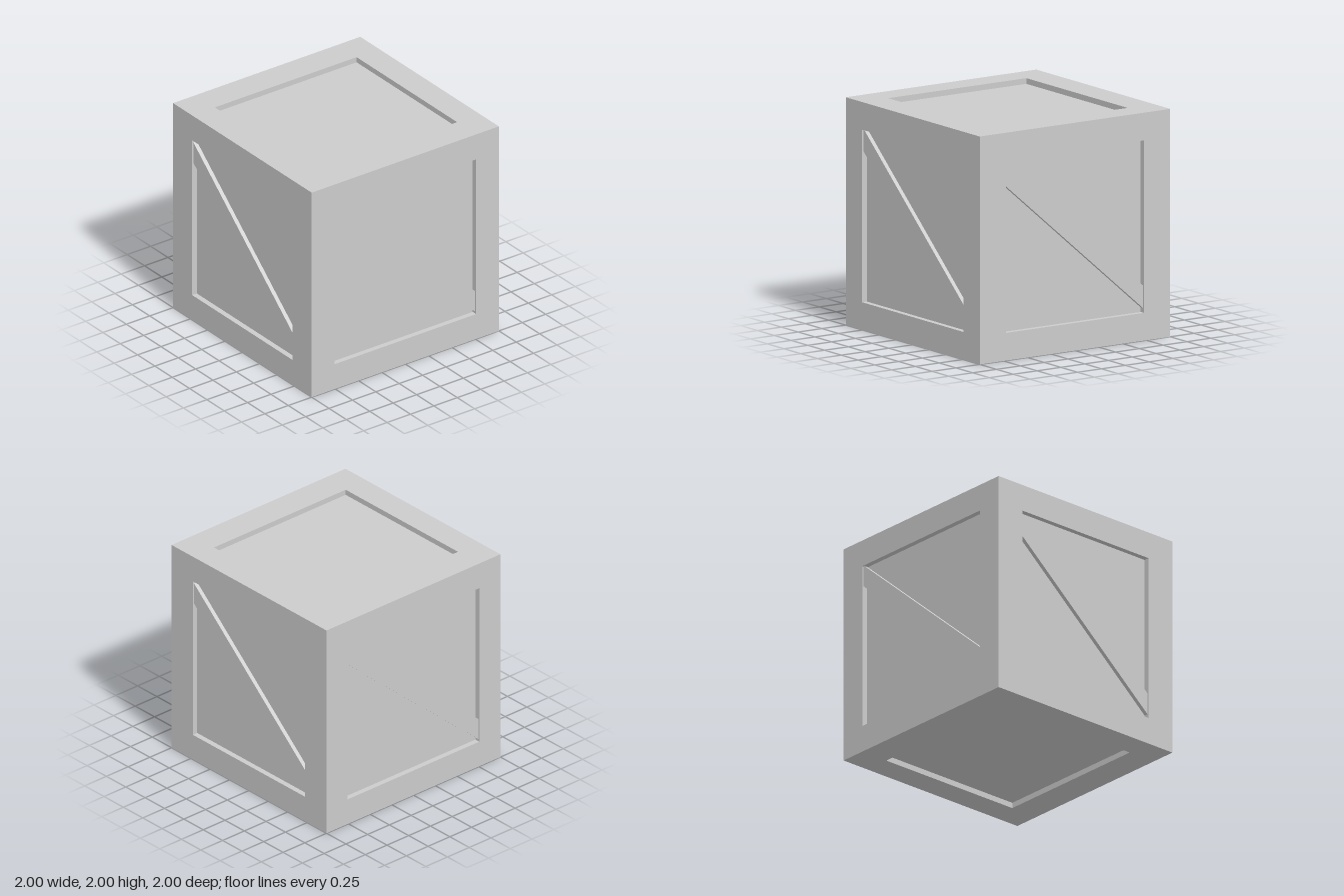
import * as THREE from 'three';

const DEPTH = 0.05;   // how far the panels sit behind the frame
const BRACE = 0.037;  // brace thickness
const material = new THREE.MeshStandardMaterial({ color: 0xcccccc, flatShading: true });

// One crate face at z = 0: flat frame, recess walls and sunken panel, lofted through rectangles
function recessedFace(w, h) {
  const loops = [[1, 1, 0], [w, h, 0], [w, h, -DEPTH], [0, 0, -DEPTH]].map(([x, y, z]) =>
    [[-x, -y, z], [x, -y, z], [x, y, z], [-x, y, z]]);
  const pos = [];
  for (let k = 0; k < 3; k++) {
    for (let i = 0; i < 4; i++) {
      const j = (i + 1) % 4;
      const a = loops[k][i], b = loops[k][j], c = loops[k + 1][j], d = loops[k + 1][i];
      pos.push(...a, ...b, ...c);
      if (k < 2) pos.push(...a, ...c, ...d);
    }
  }
  const geometry = new THREE.BufferGeometry();
  geometry.setAttribute('position', new THREE.Float32BufferAttribute(pos, 3));
  geometry.computeVertexNormals();
  return geometry;
}

// Diagonal board from upper left to lower right, cut to the recess opening
function braceGeometry(w, h, mid) {
  const slope = -0.863, half = 0.099;
  const at = (x, offset) => mid + slope * x + offset;
  const points = [[-w, at(-w, -half)], [w, at(w, -half)], [w, at(w, half)]];
  if (at(-w, half) > h) points.push([(h - mid - half) / slope, h], [-w, h]);
  else points.push([-w, at(-w, half)]);
  const shape = new THREE.Shape(points.map(([x, y]) => new THREE.Vector2(x, y)));
  return new THREE.ExtrudeGeometry(shape, { depth: BRACE, bevelEnabled: false });
}

export function createModel() {
  const crate = new THREE.Group();
  crate.name = 'crate';

  const addFace = (name, w, h, rx, ry, braceMid) => {
    const pivot = new THREE.Group();
    pivot.name = name;
    pivot.position.y = 1;
    pivot.rotation.set(rx, ry, 0);
    const panel = new THREE.Mesh(recessedFace(w, h), material);
    panel.name = name + 'Panel';
    panel.position.z = 1;
    pivot.add(panel);
    if (braceMid !== undefined) {
      const brace = new THREE.Mesh(braceGeometry(w, h, braceMid), material);
      brace.name = name + 'Brace';
      brace.position.z = 1 - DEPTH;
      pivot.add(brace);
    }
    crate.add(pivot);
  };

  // Four braced sides
  ['front', 'left', 'back', 'right'].forEach((name, i) => {
    const wide = i % 2 === 0;
    addFace(name, wide ? 0.757 : 0.725, 0.757, 0, i * Math.PI / 2, wide ? 0.016 : 0.007);
  });
  // Plain lid and base
  addFace('top', 0.757, 0.725, -Math.PI / 2, 0);
  addFace('bottom', 0.757, 0.725, Math.PI / 2, 0);

  return crate;
}
